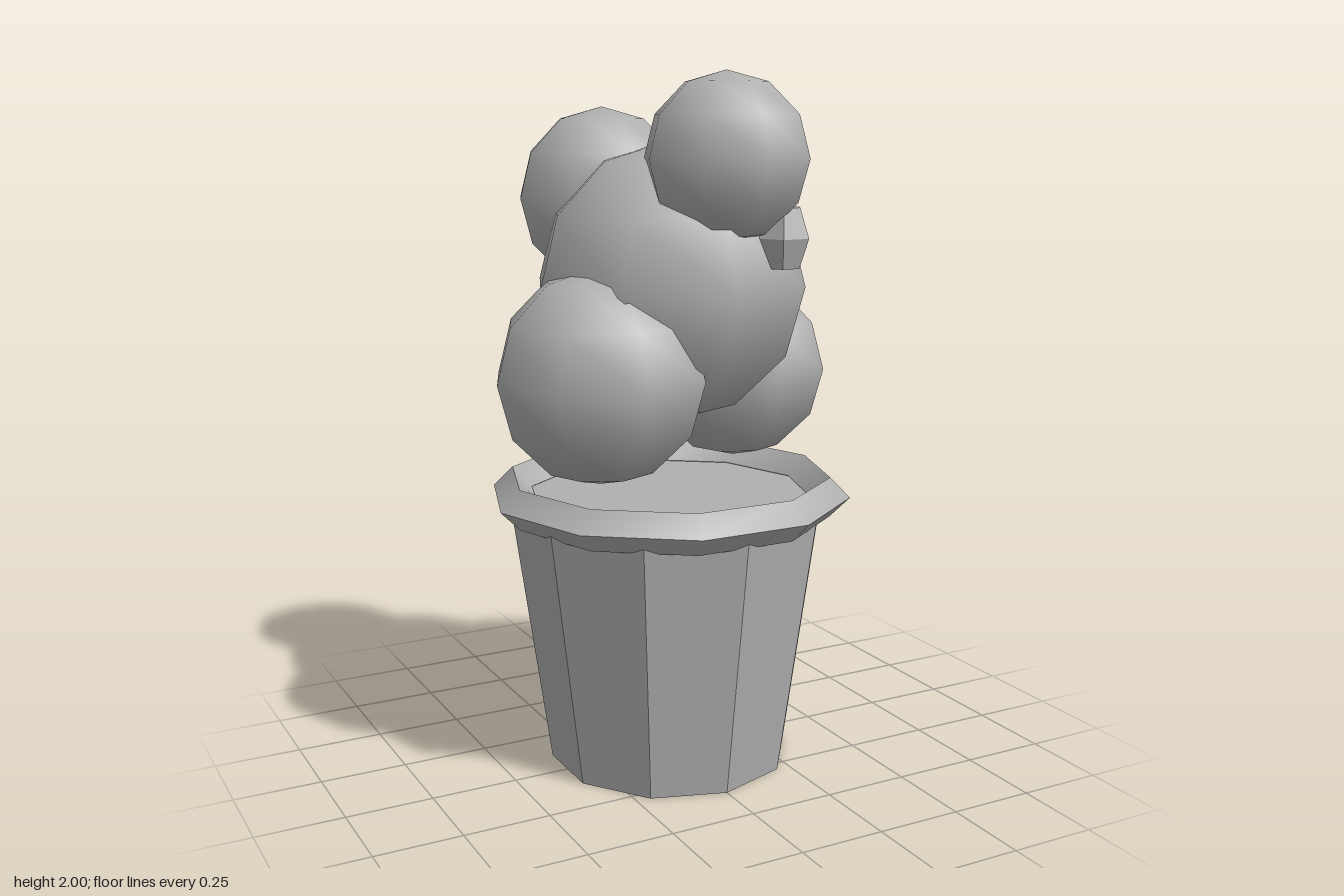
import * as THREE from 'three';
import { toCreasedNormals } from 'three/addons/utils/BufferGeometryUtils.js';

export function createModel() {
  const group = new THREE.Group();
  const grey = new THREE.MeshStandardMaterial({ color: 0xb0b0b0 });
  grey.name = 'grey';

  const add = (name, geometry, x, y, z) => {
    const mesh = new THREE.Mesh(geometry, grey);
    mesh.name = name;
    mesh.position.set(x, y, z);
    group.add(mesh);
    return mesh;
  };

  // Tapered ten-sided pot, closed at both ends
  const pot = toCreasedNormals(new THREE.CylinderGeometry(0.466, 0.354, 0.8, 10), 0.5);
  add('pot', pot, 0, 0.4, 0);

  // Rim with a diamond cross-section
  const rim = new THREE.TorusGeometry(0.469, 0.058, 4, 10);
  rim.rotateX(-Math.PI / 2);
  add('rim', toCreasedNormals(rim, 0.55), 0, 0.802, 0);

  // Smooth low-poly foliage balls: name, radius, x, y, z
  const balls = [
    ['mainFoliage', 0.396, 0, 1.415, 0],
    ['topFrontFoliage', 0.231, 0.048, 1.769, 0.236],
    ['topBackFoliage', 0.257, -0.097, 1.648, -0.235],
    ['lowerRightFoliage', 0.302, -0.263, 1.178, 0.094],
    ['lowerLeftFoliage', 0.278, 0.282, 1.138, -0.118],
  ];
  for (const [name, r, x, y, z] of balls) {
    add(name, new THREE.SphereGeometry(r, 8, 6), x, y, z);
  }

  // Small faceted fruit on the front
  const profile = [[0, -0.082], [0.052, -0.082], [0.08, 0], [0.052, 0.082], [0, 0.082]]
    .map(([r, y]) => new THREE.Vector2(r, y));
  const fruit = new THREE.LatheGeometry(profile, 6, Math.PI / 6 * 3);
  add('fruit', toCreasedNormals(fruit, 0.3), 0.187, 1.557, 0.306);

  return group;
}
